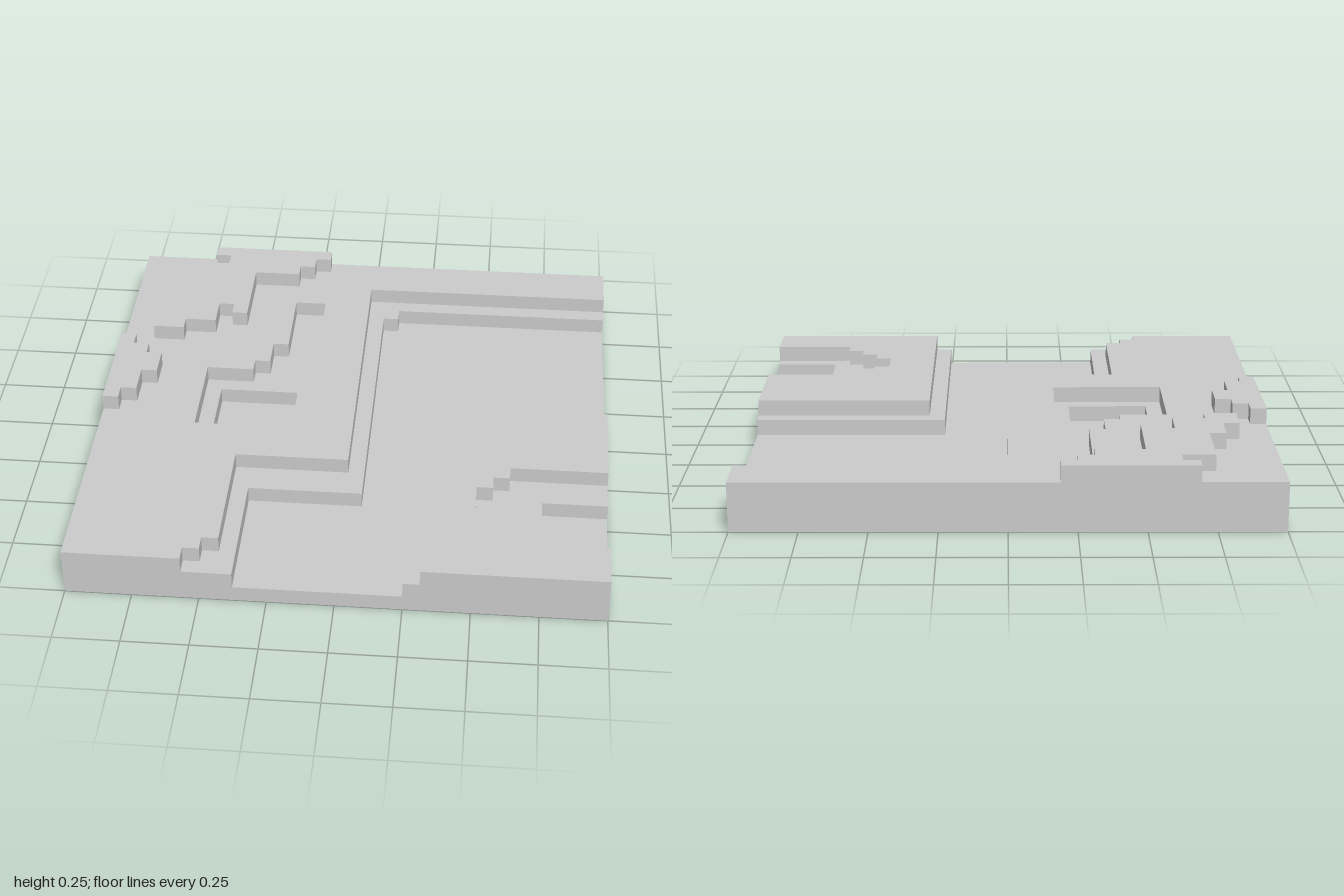
import * as THREE from 'three';

// Stepped terrain tile: every outline sits on a 32 x 32 grid, stacked in equal layers.
const U = 1 / 16;
const material = new THREE.MeshStandardMaterial({ color: 0xcccccc, flatShading: true });

const toPoints = (flat) => {
  const pts = [];
  for (let i = 0; i < flat.length; i += 2) pts.push(new THREE.Vector2(flat[i] * U, flat[i + 1] * U));
  return pts;
};

// Extrudes an outline of x, z grid pairs into one layer (level 0 is the lowest)
function terrace(name, level, outline, hole) {
  const shape = new THREE.Shape(toPoints(outline));
  if (hole) shape.holes.push(new THREE.Path(toPoints(hole)));
  const geometry = new THREE.ExtrudeGeometry(shape, { depth: U, bevelEnabled: false });
  geometry.rotateX(Math.PI / 2).translate(0, (level + 1) * U, 0);
  const mesh = new THREE.Mesh(geometry, material);
  mesh.name = name;
  return mesh;
}

export function createModel() {
  const group = new THREE.Group();
  group.name = 'terrainTile';

  // Solid bottom slab, also the floor of the river and the ponds
  group.add(terrace('bedrock', 0, [-16, -16, 16, -16, 16, 16, -16, 16]));

  // Lower banks: river shelf with the deep parts of both ponds cut out
  group.add(terrace('lowerLeftBank', 1,
    [-16, -16, 16, -16, 16, -12, 2, -12, 2, -11, 1, -11, 1, 8, -6, 8, -6, 16, -16, 16],
    [-9, -2, -4, -2, -4, 2, -9, 2]));
  group.add(terrace('lowerRightBank', 1,
    [4, -1, 16, -1, 16, 8, 12, 8, 12, 12, 16, 12, 16, 16, 4, 16]));

  // Main ground with the wide, shallow parts of the ponds cut out
  group.add(terrace('leftGround', 2,
    [-16, -16, 16, -16, 16, -13, 0, -13, 0, 6, -7, 6, -7, 14, -8, 14, -8, 15, -9, 15, -9, 16, -16, 16],
    [-5, -11, -3, -11, -3, 3, -10, 3, -10, -3, -7, -3, -7, -4, -6, -4, -6, -6, -5, -6]));
  group.add(terrace('rightGround', 2,
    [5, 0, 16, 0, 16, 6, 10, 6, 10, 7, 9, 7, 9, 8, 8, 8, 8, 10, 9, 10, 9, 11, 10, 11,
      10, 12, 11, 12, 11, 13, 16, 13, 16, 16, 5, 16]));

  // Raised hills on top
  group.add(terrace('backHill', 3,
    [-11, -16, -11, -15, -10, -15, -10, -14, -12, -14, -12, -10, -13, -10, -13, -8, -14, -8,
      -14, -6, -12, -6, -12, -7, -10, -7, -10, -9, -9, -9, -9, -8, -8, -8, -8, -13, -5, -13,
      -5, -14, -4, -14, -4, -15, -3, -15, -3, -16]));
  group.add(terrace('sideHill', 3,
    [-16, -5, -15, -5, -15, -4, -14, -4, -14, -3, -13, -3, -13, -1, -14, -1, -14, 1,
      -15, 1, -15, 2, -16, 2]));

  return group;
}
